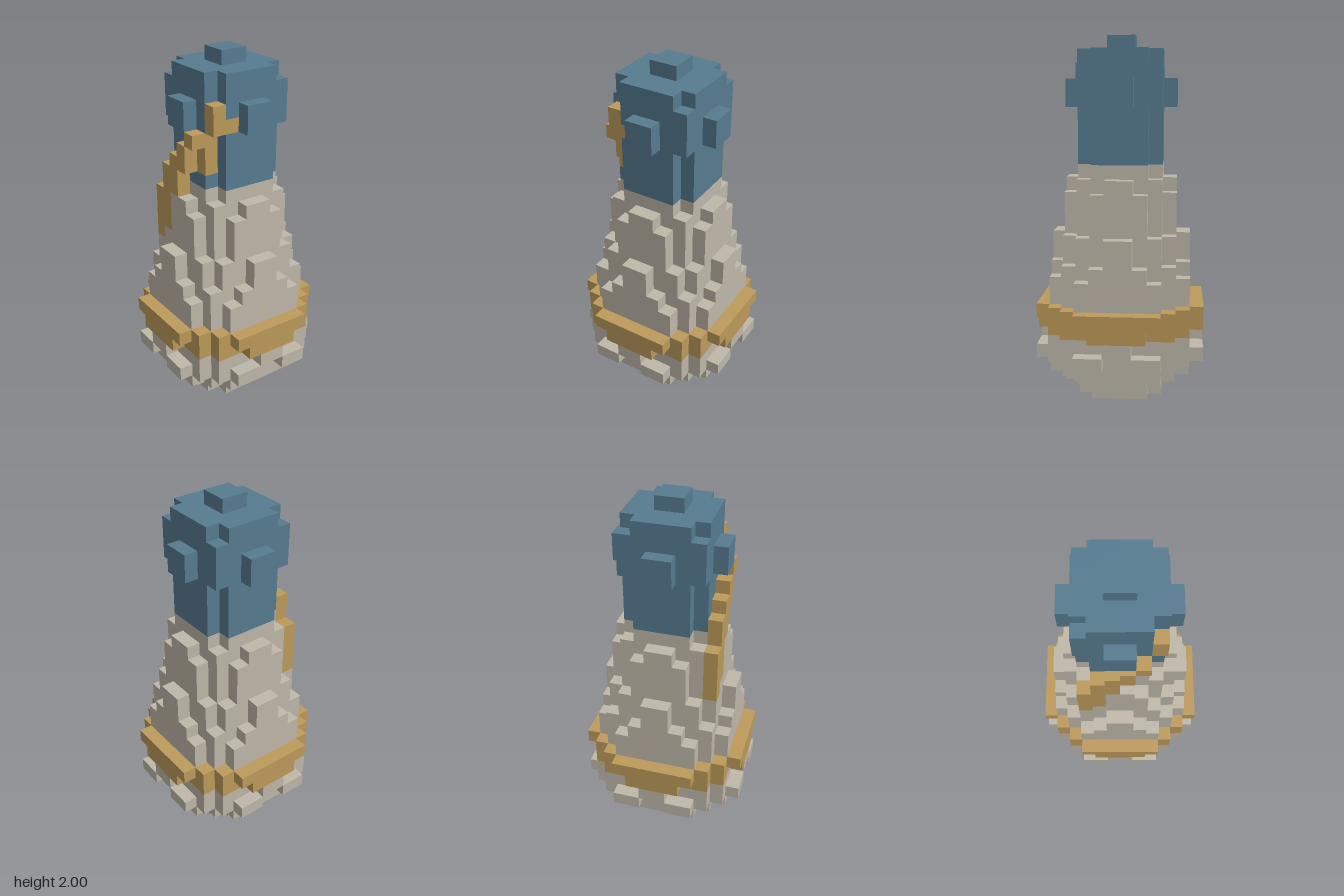
import * as THREE from 'three';

const U = 2 / 26; // edge of one cube

// Each tier: [first layer, last layer, part, depth of the disc at column 0, 1, 2... from the axis]
const TIERS = [
  [0, 0, 'body', [3, 3, 2]],
  [1, 1, 'body', [4, 4, 3, 2]],
  [2, 2, 'body', [5, 5, 5, 4, 3]],
  [3, 3, 'body', [6, 6, 6, 5, 4, 3]],
  [4, 4, 'body', [6, 5, 5, 5, 4, 1]],
  [5, 5, 'band', [6, 6, 5, 5, 4, 2]],
  [6, 6, 'band', [6, 6, 6, 5, 4, 3]],
  [7, 8, 'body', [5, 5, 5, 4, 3]],
  [9, 9, 'body', [5, 5, 4, 4, 2]],
  [10, 11, 'body', [5, 4, 4, 3, 1]],
  [12, 14, 'body', [4, 4, 3, 2]],
  [15, 15, 'body', [4, 3, 3, 1]],
  [16, 16, 'body', [3, 3, 2]],
  [17, 20, 'cap', [3, 3, 2]],
  [21, 22, 'cap', [4, 3, 3, 1]],
  [23, 23, 'cap', [3, 3, 3]],
  [24, 24, 'cap', [3, 3, 2]],
  [25, 25, 'cap', [1]],
];

// Rising ribbon: [x cell, z cell, first layer, last layer]
const RIBBON = [
  [-4, -3, 12, 15], [-4, -2, 13, 17], [-4, -1, 16, 18], [-4, 0, 18, 19],
  [-4, 1, 20, 20], [-3, 1, 18, 20], [-3, 2, 21, 22], [-2, 2, 21, 21],
];

const key = (x, y, z) => `${x},${y},${z}`;

function fillCells() {
  const cells = new Map();
  for (const [y0, y1, part, depth] of TIERS)
    for (let y = y0; y <= y1; y++)
      depth.forEach((d, i) => {
        for (let j = 0; j < d; j++)
          for (const x of [i, -i - 1])
            for (const z of [j, -j - 1]) cells.set(key(x, y, z), { x, y, z, part });
      });
  // notch in the middle of each side, under the band
  for (const [x, z] of [[0, 5], [-1, 5], [0, -6], [-1, -6], [5, 0], [5, -1], [-6, 0], [-6, -1]])
    cells.delete(key(x, 3, z));
  // cap corner left open above the ribbon's end
  cells.delete(key(-3, 23, 2));
  for (const [x, z, y0, y1] of RIBBON)
    for (let y = y0; y <= y1; y++) cells.set(key(x, y, z), { x, y, z, part: 'ribbon' });
  return cells;
}

// Outer faces only of the cubes belonging to one part
function partGeometry(cells, part) {
  const pos = [], nor = [], index = [];
  for (const c of cells.values()) {
    if (c.part !== part) continue;
    const p = [c.x, c.y, c.z];
    for (let a = 0; a < 3; a++)
      for (const s of [1, -1]) {
        const n = [0, 0, 0];
        n[a] = s;
        if (cells.has(key(p[0] + n[0], p[1] + n[1], p[2] + n[2]))) continue;
        const b = (a + 1) % 3, d = (a + 2) % 3, first = pos.length / 3;
        for (const [u, v] of [[0, 0], [1, 0], [1, 1], [0, 1]]) {
          const q = [...p];
          if (s > 0) q[a] += 1;
          q[b] += u;
          q[d] += v;
          pos.push(...q.map((k) => k * U));
          nor.push(...n);
        }
        const order = s > 0 ? [0, 1, 2, 0, 2, 3] : [0, 2, 1, 0, 3, 2];
        index.push(...order.map((k) => first + k));
      }
  }
  const g = new THREE.BufferGeometry();
  g.setAttribute('position', new THREE.Float32BufferAttribute(pos, 3));
  g.setAttribute('normal', new THREE.Float32BufferAttribute(nor, 3));
  g.setIndex(index);
  return g;
}

export function createModel() {
  const material = (name, color) => {
    const m = new THREE.MeshStandardMaterial({ color });
    m.name = name;
    return m;
  };
  const stone = material('stone', 0xbfb8aa);
  const gold = material('gold', 0xbd9a5a);
  const blue = material('blue', 0x567b90);
  const materials = { body: stone, band: gold, cap: blue, ribbon: gold };

  const group = new THREE.Group();
  group.name = 'steppedBottle';
  const cells = fillCells();
  for (const part of Object.keys(materials)) {
    const mesh = new THREE.Mesh(partGeometry(cells, part), materials[part]);
    mesh.name = part;
    group.add(mesh);
  }
  return group;
}
